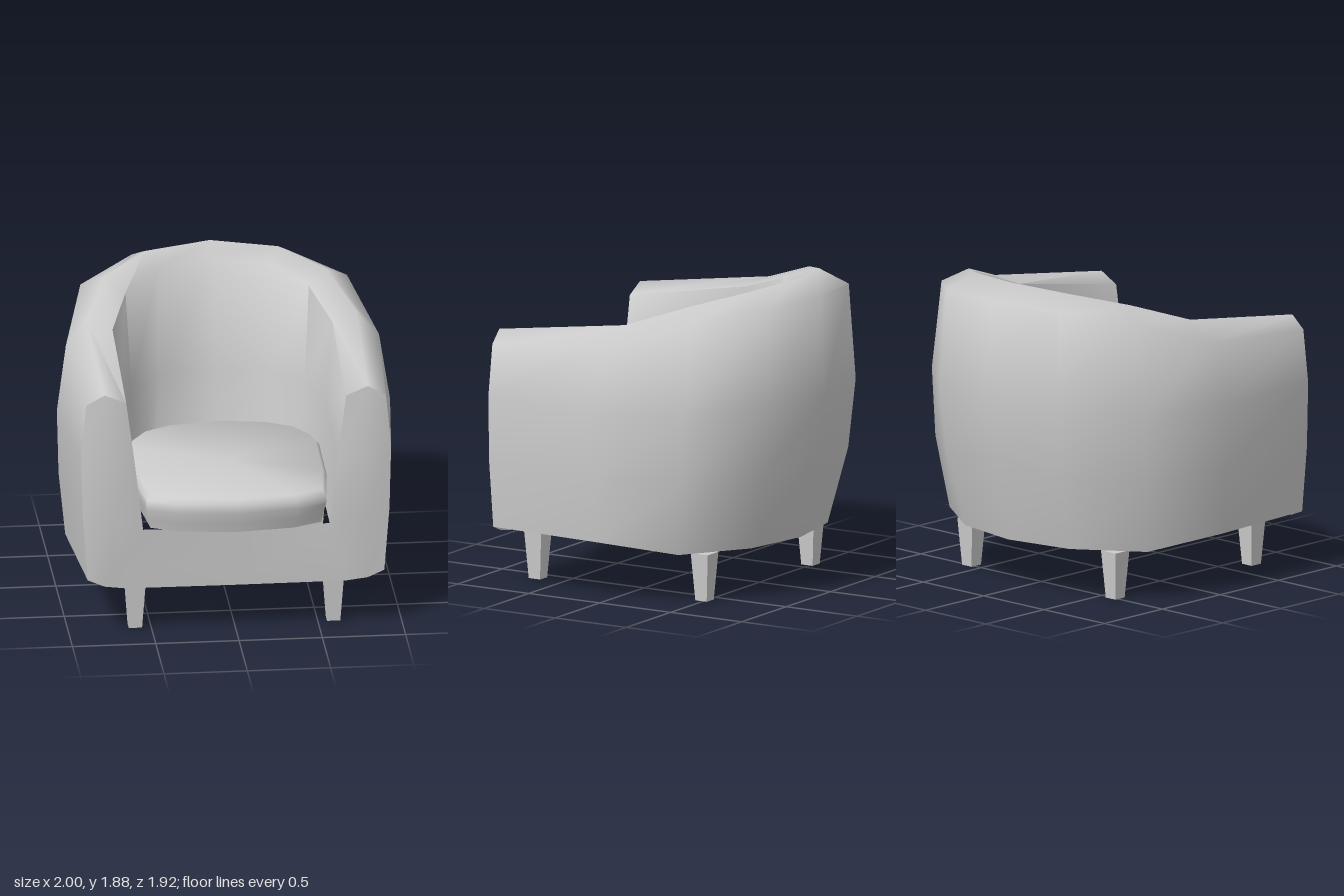
import * as THREE from 'three';
import { toCreasedNormals } from 'three/addons/utils/BufferGeometryUtils.js';

const material = new THREE.MeshStandardMaterial({ color: 0xcccccc, side: THREE.DoubleSide });
const mirror = ([x, y, z]) => [-x, y, z];

// Adds the triangles between neighbouring lines of points; u x v points outwards.
function skin(out, lines) {
  for (let u = 0; u < lines.length - 1; u++) {
    for (let v = 0; v < lines[u].length - 1; v++) {
      const a = lines[u][v], b = lines[u + 1][v], c = lines[u + 1][v + 1], d = lines[u][v + 1];
      out.push(...a, ...b, ...c, ...a, ...c, ...d);
    }
  }
}

function makeMesh(name, positions, crease) {
  const geometry = new THREE.BufferGeometry();
  geometry.setAttribute('position', new THREE.Float32BufferAttribute(positions, 3));
  const mesh = new THREE.Mesh(toCreasedNormals(geometry, crease), material);
  mesh.name = name;
  return mesh;
}

// Wraparound back and arms: sections run up the outside, over the crown, down the inside.
function createShell() {
  const sections = [
    [[.89, .35, .82], [.92, .75, .83], [.93, 1.15, .83], [.90, 1.47, .82],
      [.79, 1.54, .84], [.66, 1.48, .83], [.61, 1.1, .84], [.56, .67, .84]],
    [[.95, .355, .06], [.99, .75, .06], [1, 1.15, .06], [.94, 1.54, .0],
      [.81, 1.67, -.06], [.66, 1.63, .0], [.62, 1.1, .0], [.58, .62, .0]],
    [[.82, .31, -.44], [.88, .75, -.5], [.89, 1.17, -.52], [.80, 1.72, -.53],
      [.67, 1.8, -.43], [.55, 1.74, -.32], [.52, 1.15, -.26], [.48, .62, -.2]],
    [[.43, .31, -.71], [.47, .78, -.83], [.49, 1.2, -.87], [.46, 1.78, -.84],
      [.4, 1.865, -.67], [.33, 1.8, -.56], [.34, 1.15, -.43], [.36, .62, -.32]],
    [[0, .31, -.79], [0, .83, -.92], [0, 1.2, -.96], [0, 1.8, -.925],
      [0, 1.885, -.76], [0, 1.82, -.64], [0, 1.15, -.52], [0, .62, -.4]],
  ];
  const positions = [];
  skin(positions, [...sections, ...sections.slice(0, 4).reverse().map((s) => s.map(mirror))]);

  // Arm fronts close the open ends of the sweep
  const end = sections[0];
  const outer = end.slice(0, 4);
  const middle = [[.79, .31, .83], [.75, .72, .865], [.77, 1.13, .87], end[4]];
  const inner = [[.66, .29, .82], end[7], end[6], end[5]];
  const arm = [inner, middle, outer];
  skin(positions, arm);
  skin(positions, [...arm].reverse().map((line) => line.map(mirror)));

  // Front rail under the cushion
  const rail = inner.slice(0, 2);
  skin(positions, [rail.map(mirror), [[0, .29, .825], [0, .66, .85]], rail]);
  return makeMesh('wraparoundShell', positions, 1.2);
}

// Seat cushion: one outline stacked in rings with softened top edge
function createCushion() {
  const half = [[0, .965], [.36, .925], [.54, .84], [.575, .5], [.58, 0], [.55, -.11],
    [.46, -.25], [.3, -.34], [0, -.39]];
  const outline = [...half, ...half.slice(1, -1).reverse().map(([x, z]) => [-x, z]), half[0]];
  const midZ = .28;
  const ring = (scale, y) => outline.map(([x, z]) => [x * scale, y, midZ + (z - midZ) * scale]);
  const rings = [ring(0, .67), ring(.95, .67), ring(.97, .73), ring(1, .8), ring(1, .85),
    ring(.96, .88), ring(0, .88)];
  const positions = [];
  // Swap to lines running upwards so the faces point outwards
  skin(positions, outline.map((_, i) => rings.map((r) => r[i])));
  return makeMesh('seatCushion', positions, 1.0);
}

// Tapered square legs
function createLegs() {
  const legs = new THREE.Group();
  legs.name = 'legs';
  const geometry = new THREE.CylinderGeometry(.06 * Math.SQRT2, .04 * Math.SQRT2, .29, 4)
    .rotateY(Math.PI / 4).toNonIndexed();
  geometry.computeVertexNormals();
  for (const x of [-.595, .595]) {
    for (const [row, z] of [['front', .69], ['rear', -.485]]) {
      const leg = new THREE.Mesh(geometry, material);
      leg.name = row + (x > 0 ? 'LeftLeg' : 'RightLeg');
      leg.position.set(x, .145, z);
      legs.add(leg);
    }
  }
  return legs;
}

export function createModel() {
  const chair = new THREE.Group();
  chair.name = 'tubArmchair';
  chair.add(createShell(), createCushion(), createLegs());
  return chair;
}
